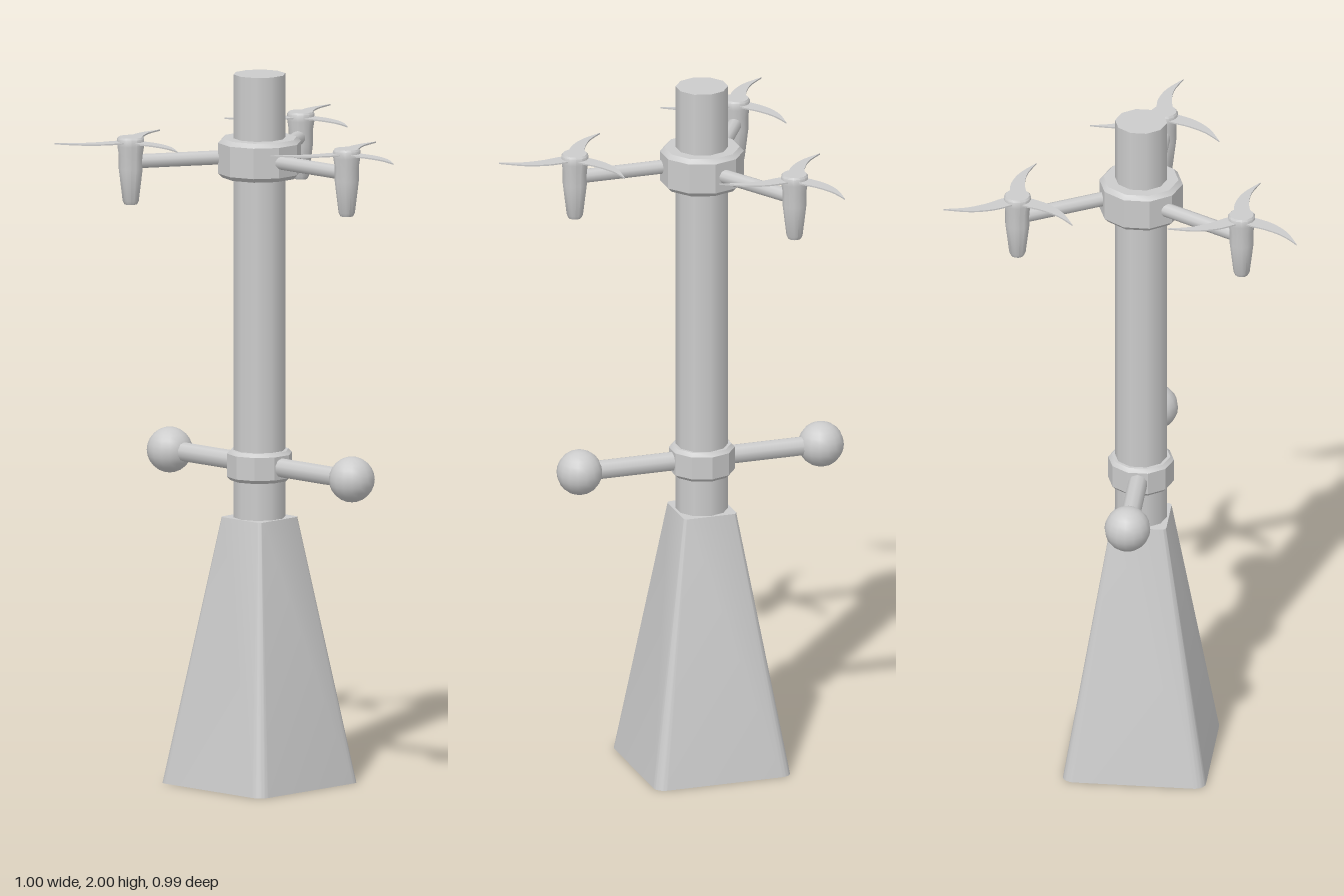
import * as THREE from 'three';
import { toCreasedNormals } from 'three/addons/utils/BufferGeometryUtils.js';

const AXIS_X = -0.028, AXIS_Z = -0.08;

export function createModel() {
  const material = new THREE.MeshStandardMaterial({ color: 0xcccccc });
  const tower = new THREE.Group();
  tower.name = 'tower';
  tower.position.set(AXIS_X, 0, AXIS_Z);

  const add = (parent, name, geometry, x = 0, y = 0, z = 0) => {
    const mesh = new THREE.Mesh(geometry, material);
    mesh.name = name;
    mesh.position.set(x, y, z);
    parent.add(mesh);
    return mesh;
  };
  const lathe = (profile, sides, crease) => toCreasedNormals(
    new THREE.LatheGeometry(profile.map(([r, y]) => new THREE.Vector2(r, y)), sides), crease);
  // Ten-sided collar with chamfered rims
  const collar = (r, h, c) => lathe([[0, -h / 2], [r - c, -h / 2], [r, -h / 2 + c],
    [r, h / 2 - c], [r - c, h / 2], [0, h / 2]], 10, 0.5).rotateY(Math.PI / 2);

  // Tapered base with rounded corners
  add(tower, 'base', baseGeometry());

  // Pole
  add(tower, 'pole', new THREE.CylinderGeometry(0.073, 0.073, 1.3, 10).rotateY(Math.PI / 2), 0, 1.35, 0);

  // Lower collar with a cross bar and a ball at each end
  add(tower, 'lowerCollar', collar(0.092, 0.085, 0.01), 0, 0.898, 0);
  add(tower, 'crossBar', new THREE.CylinderGeometry(0.027, 0.027, 0.68, 10).rotateX(Math.PI / 2), 0, 0.898, 0.005);
  for (const z of [0.36, -0.35]) {
    add(tower, 'ball', new THREE.SphereGeometry(0.064, 16, 12), 0, 0.898, z);
  }

  // Upper hub with three rotor arms
  add(tower, 'hub', collar(0.117, 0.11, 0.012), 0, 1.765, 0);
  const nacelle = lathe([[0, 1.645], [0.018, 1.645], [0.023, 1.655], [0.034, 1.745],
    [0.034, 1.785], [0.038, 1.81], [0.038, 1.83], [0.034, 1.835], [0, 1.835]], 14, 0.7);
  const blade = bladeGeometry();
  for (let i = 0; i < 3; i++) {
    const arm = new THREE.Group();
    arm.name = 'rotorArm';
    arm.rotation.y = i * Math.PI * 2 / 3;
    tower.add(arm);
    add(arm, 'strut', new THREE.CylinderGeometry(0.02, 0.02, 0.32, 10).rotateX(Math.PI / 2), -0.025, 1.765, 0.205);
    add(arm, 'nacelle', nacelle, -0.025, 0, 0.365);
    for (let k = 0; k < 3; k++) {
      add(arm, 'blade', blade, -0.025, 1.82, 0.365).rotation.y = k * Math.PI * 2 / 3;
    }
  }

  const model = new THREE.Group();
  model.name = 'rotorTower';
  model.add(tower);
  return model;
}

// Rounded square, extruded upward and narrowed toward the top
function baseGeometry() {
  const s = 0.2, r = 0.032, h = 0.75;
  const shape = new THREE.Shape();
  [[1, 1], [-1, 1], [-1, -1], [1, -1]].forEach(([x, y], i) => {
    shape.absarc(x * (s - r), y * (s - r), r, i * Math.PI / 2, (i + 1) * Math.PI / 2);
  });
  const geometry = new THREE.ExtrudeGeometry(shape, { depth: h, bevelEnabled: false, curveSegments: 5 });
  geometry.rotateX(-Math.PI / 2);
  const p = geometry.attributes.position;
  for (let i = 0; i < p.count; i++) {
    const k = 1 - 0.61 * p.getY(i) / h;
    p.setXYZ(i, p.getX(i) * k, p.getY(i), p.getZ(i) * k);
  }
  return toCreasedNormals(geometry, 0.6);
}

// Thin sickle-shaped blade reaching toward +z
function bladeGeometry() {
  const shape = new THREE.Shape();
  shape.moveTo(0.02, 0);
  shape.splineThru([[0.026, 0.04], [0.027, 0.09], [0.01, 0.15], [-0.03, 0.212]].map(p => new THREE.Vector2(...p)));
  shape.splineThru([[-0.012, 0.15], [-0.011, 0.09], [-0.02, 0.04], [-0.02, 0]].map(p => new THREE.Vector2(...p)));
  const geometry = new THREE.ExtrudeGeometry(shape, { depth: 0.004, bevelEnabled: false, curveSegments: 4 });
  return geometry.translate(0, 0, -0.002).rotateX(Math.PI / 2);
}
